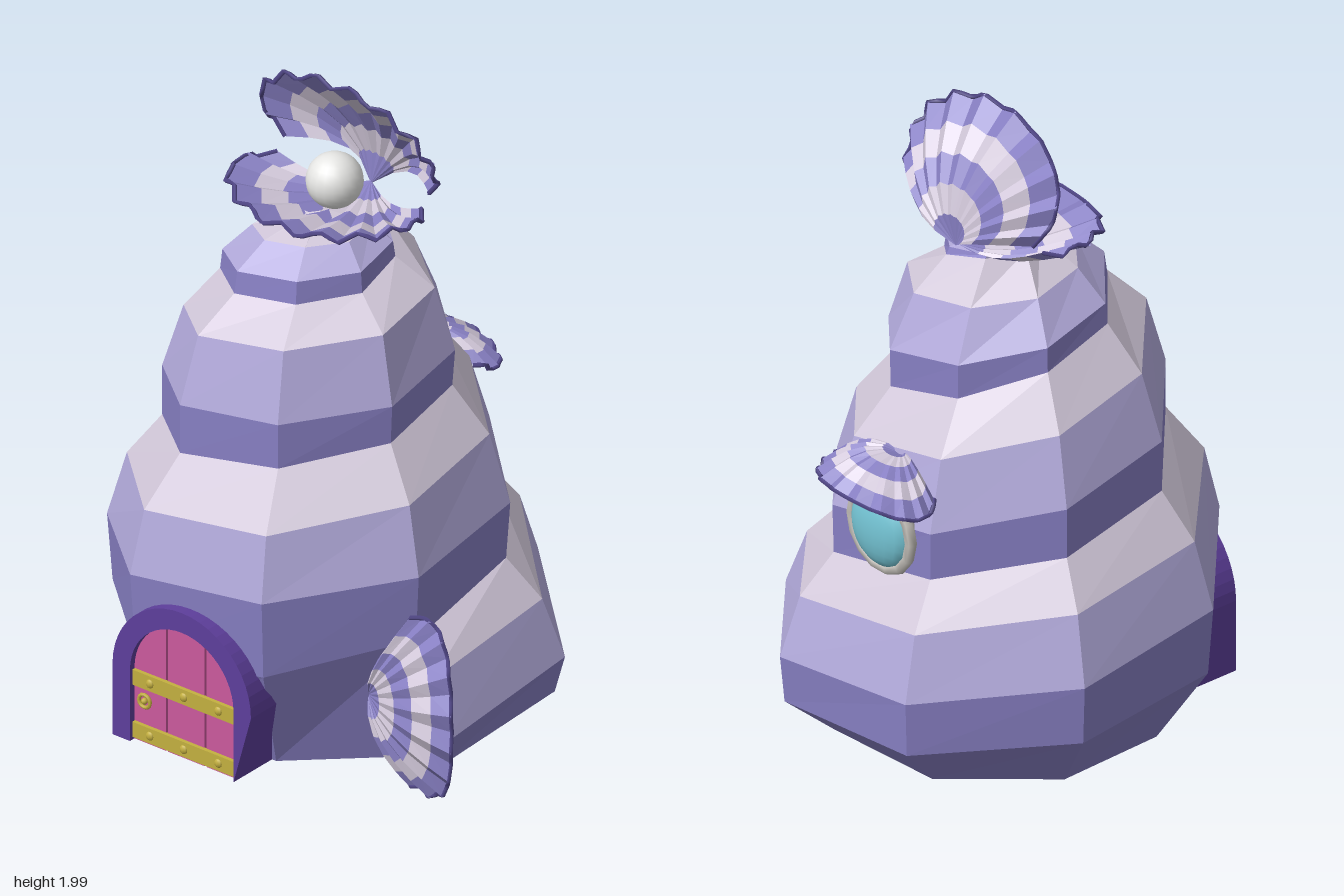
import * as THREE from 'three';

const mat = (name, color) => {
  const m = new THREE.MeshStandardMaterial({ color, side: THREE.DoubleSide });
  m.name = name;
  return m;
};

// Flat-shaded mesh from a list of four-cornered faces
function facets(name, quads, material) {
  const pos = [];
  for (const [a, b, c, d] of quads) for (const p of [a, b, c, a, c, d]) pos.push(...p);
  const g = new THREE.BufferGeometry();
  g.setAttribute('position', new THREE.Float32BufferAttribute(pos, 3));
  g.computeVertexNormals();
  const m = new THREE.Mesh(g, material);
  m.name = name;
  return m;
}

function add(parent, name, geometry, material, x = 0, y = 0, z = 0) {
  const m = new THREE.Mesh(geometry, material);
  m.name = name;
  m.position.set(x, y, z);
  parent.add(m);
  return m;
}

// Spiral tracks: [height, radius] for each quarter turn, starting at quarter -5
const CREASE = [[.13, .64], [.15, .63], [.2, .615], [.3, .575], [.36, .54], [.53, .5], [.68, .48], [.83, .44],
  [.97, .41], [1.07, .36], [1.17, .32], [1.34, .285], [1.42, .25], [1.45, .205], [1.57, .17], [1.59, .1], [1.6, .02], [1.6, 0]];
const WIDEST = [[.2, .665], [.25, .665], [.36, .62], [.49, .59], [.62, .555], [.72, .515], [.82, .48], [.99, .44],
  [1.12, .41], [1.18, .37], [1.29, .32], [1.4, .28], [1.49, .24], [1.51, .2], [1.58, .16], [1.59, .1]];
const SHOULDER = [[.38, .61], [.42, .6], [.55, .57], [.7, .53], [.81, .52], [.93, .46], [1.03, .42], [1.19, .38],
  [1.33, .36], [1.38, .32], [1.45, .25], [1.5, .2], [1.56, .16], [1.57, .14], [1.59, .1], [1.6, .05]];
const GROUND = [[.07, .54], [.07, .52], [.07, .47], [.07, .42], [.07, .41], [.07, .43]];

function onTrack(track, q) {
  const f = Math.min(q + 5, track.length - 1.001), i = Math.floor(f), t = f - i;
  const y = track[i][0] * (1 - t) + track[i + 1][0] * t;
  const r = (track[i][1] * (1 - t) + track[i + 1][1] * t) / Math.cos(Math.PI / 8);
  const a = q * Math.PI / 2;
  return [-.07 + r * Math.cos(a), y, .02 - r * Math.sin(a)];
}

// Coiled eight-sided house body with three bands per whorl
function makeBody(M) {
  const body = new THREE.Group();
  body.name = 'spiralBody';
  const low = [], mid = [], top = [];
  const band = (list, t0, t1, q, lift = 0) => list.push([onTrack(t0, q), onTrack(t0, q + .5),
    onTrack(t1, q + .5 + lift), onTrack(t1, q + lift)]);
  // Undo the angle wrap of a full turn: a lift of 4 quarters is the same direction
  for (let q = -4.25; q < 9; q += .5) {
    if (q < -.3) band(low, GROUND, CREASE, q);
    band(low, CREASE, WIDEST, q);
    band(mid, WIDEST, SHOULDER, q);
    band(top, SHOULDER, CREASE, q, 4);
  }
  // Flat end of the lowest whorl
  const s = -4.25, g = onTrack(GROUND, -.25), c = onTrack(CREASE, -.25);
  low.push([g, onTrack(GROUND, s), onTrack(CREASE, s), onTrack(WIDEST, s)]);
  low.push([g, onTrack(WIDEST, s), onTrack(SHOULDER, s), c]);
  body.add(facets('lowerBand', low, M.purple), facets('middleBand', mid, M.lavender), facets('upperBand', top, M.lilac));
  return body;
}

// Ribbed scallop: hinge at the origin, fan along +y, bulging to +z
function makeScallop(name, M, w, h, depth, lateral, at, dir, out) {
  const shell = new THREE.Group();
  shell.name = name;
  const cols = 20, rings = 5;
  const point = (i, j) => {
    const t = (i / cols * 2 - 1) * 2.1, s = j / rings;
    const ridge = i % 2, k = s * (ridge ? 1 : .955);
    const x = w * Math.sin(t), y = h * (.5 + .5 * Math.cos(t));
    const z = depth * Math.sin(Math.PI * Math.pow(s, .8)) - lateral * (x / w) ** 2 * s * s + (ridge ? .05 : -.02) * w * s;
    return [x * k, y * k, z];
  };
  const stripes = [[], []];
  for (let j = 0; j < rings; j++) for (let i = 0; i < cols; i++) {
    stripes[j % 2].push([point(i, j), point(i + 1, j), point(i + 1, j + 1), point(i, j + 1)]);
  }
  shell.add(facets('purpleStripes', stripes[0], M.purple), facets('lilacStripes', stripes[1], M.lilac));
  // Thin dark edge
  const path = new THREE.CurvePath();
  for (let i = 0; i < cols; i++) {
    path.add(new THREE.LineCurve3(new THREE.Vector3(...point(i, rings)), new THREE.Vector3(...point(i + 1, rings))));
  }
  add(shell, 'shellRim', new THREE.TubeGeometry(path, cols * 2, .007, 4), M.rim);
  const Y = new THREE.Vector3(...dir).normalize();
  const X = Y.clone().cross(new THREE.Vector3(...out)).normalize();
  shell.setRotationFromMatrix(new THREE.Matrix4().makeBasis(X, Y, X.clone().cross(Y)));
  shell.position.set(...at);
  return shell;
}

// Arch outline between two x limits; the rounded top follows radius r
function archShape(r, x0, x1, base, spring) {
  const s = new THREE.Shape();
  s.moveTo(x0, base);
  s.lineTo(x1, base);
  for (let i = 0; i <= 14; i++) {
    const x = r * Math.cos(Math.acos(x1 / r) + (Math.acos(x0 / r) - Math.acos(x1 / r)) * i / 14);
    s.lineTo(x, spring + Math.sqrt(Math.max(0, r * r - x * x)));
  }
  s.closePath();
  return s;
}

function makeDoor(M) {
  const door = new THREE.Group();
  door.name = 'door';
  door.position.x = -.1;
  const extrude = (shape, depth) => new THREE.ExtrudeGeometry(shape, { depth, bevelEnabled: false });
  // Deep arched frame, open at the foot
  const frame = new THREE.Shape();
  frame.moveTo(.25, .07);
  frame.absarc(0, .295, .25, 0, Math.PI, false);
  frame.lineTo(-.25, .07);
  frame.lineTo(-.187, .07);
  frame.absarc(0, .295, .187, Math.PI, 0, true);
  frame.lineTo(.187, .07);
  frame.closePath();
  add(door, 'doorFrame', extrude(frame, .225), M.frame, 0, 0, .38);
  add(door, 'doorBacking', extrude(archShape(.187, -.187, .187, .07, .295), .008), M.rim, 0, 0, .565);
  for (const [x0, x1] of [[-.187, -.073], [-.066, .066], [.073, .187]]) {
    add(door, 'doorPlank', extrude(archShape(.187, x0, x1, .07, .295), .012), M.pink, 0, 0, .573);
  }
  // Metal straps with rivets, and the ring handle
  for (const y of [.105, .272]) {
    add(door, 'doorStrap', new THREE.BoxGeometry(.37, .048, .014), M.gold, 0, y, .59);
    for (const x of [-.122, 0, .125]) {
      add(door, 'rivet', new THREE.SphereGeometry(.014, 8, 6), M.gold, x, y, .596).scale.z = .6;
    }
  }
  add(door, 'ringHandle', new THREE.TorusGeometry(.02, .006, 6, 12), M.gold, -.145, .207, .592);
  add(door, 'handleKnob', new THREE.SphereGeometry(.01, 8, 6), M.gold, -.145, .207, .592);
  return door;
}

function makeWindow(M) {
  const win = new THREE.Group();
  win.name = 'window';
  win.position.set(-.075, .81, -.465);
  add(win, 'windowRing', new THREE.TorusGeometry(.125, .018, 6, 14), M.stone);
  add(win, 'windowPane', new THREE.SphereGeometry(.118, 18, 12), M.glass).scale.z = .42;
  return win;
}

export function createModel() {
  const M = {
    purple: mat('purple', 0x8880c4), lavender: mat('lavender', 0xb2aadb), lilac: mat('pale lilac', 0xd2c8da),
    rim: mat('dark violet', 0x544a8c), frame: mat('door violet', 0x5e3f9c), pink: mat('pink', 0xcc5a9e),
    gold: mat('gold', 0xc4b040), pearl: mat('pearl white', 0xe6e6e4), glass: mat('aqua glass', 0x74c4d4),
    stone: mat('stone grey', 0xc2beb8),
  };
  const model = new THREE.Group();
  model.name = 'shellHouse';
  model.add(makeBody(M), makeDoor(M), makeWindow(M));
  // Open shell with a pearl on the summit
  model.add(makeScallop('upperShell', M, .315, .435, .06, .02, [-.055, 1.6, -.175], [0, .912, .41], [0, .41, -.912]));
  model.add(makeScallop('lowerShell', M, .315, .415, .03, .04, [-.055, 1.61, -.175], [0, .07, 1], [0, -1, .07]));
  add(model, 'pearl', new THREE.SphereGeometry(.082, 20, 14), M.pearl, -.055, 1.68, -.015);
  // Shell beside the whorl's end and the awning over the window
  model.add(makeScallop('sideShell', M, .285, .335, .03, .07, [.315, .295, .29], [1, 0, .08], [-.08, 0, 1]));
  model.add(makeScallop('windowAwning', M, .22, .225, .04, .05, [-.075, 1.02, -.39], [0, -.3, -1], [0, 1, -.3]));
  return model;
}
